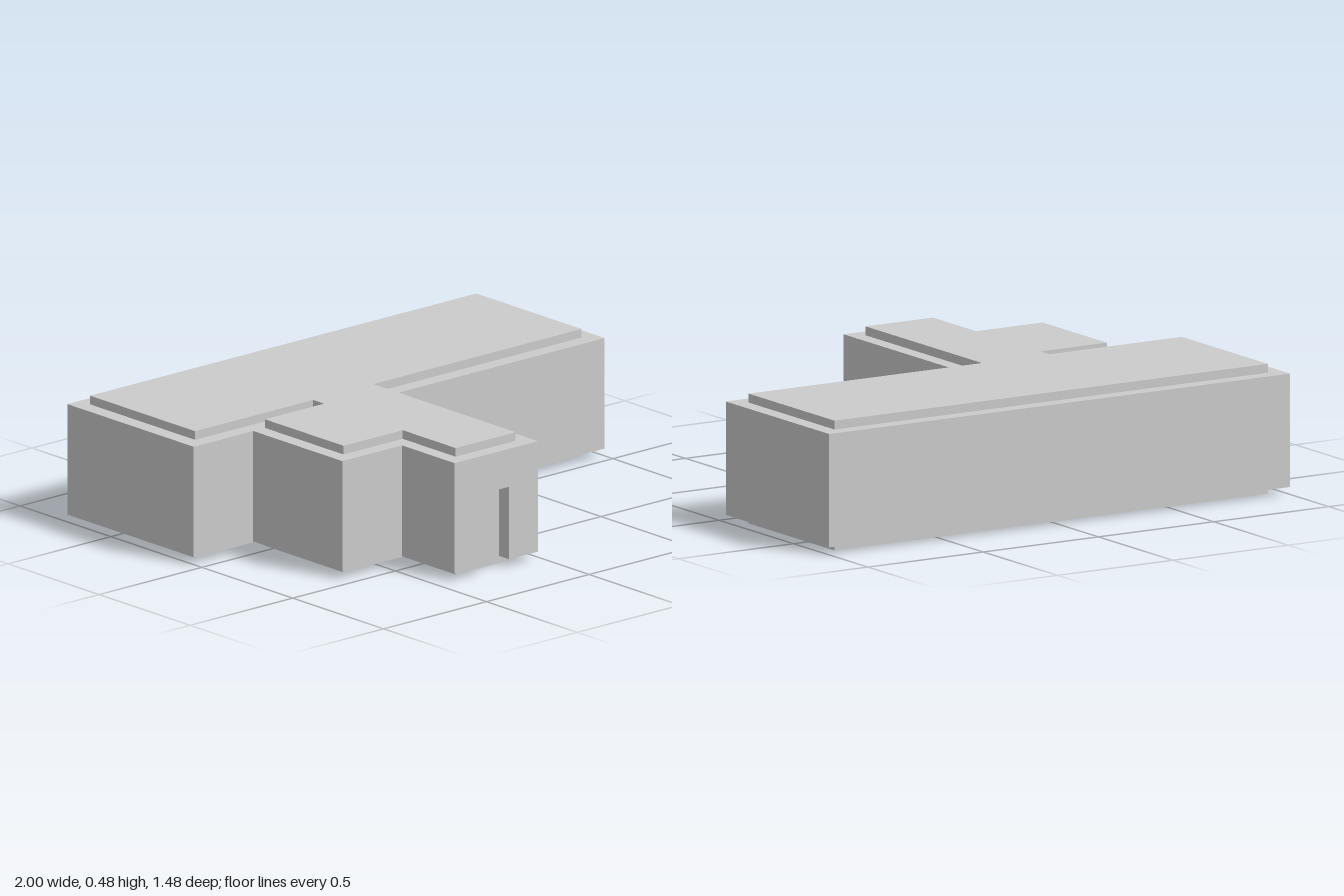
import * as THREE from 'three';

const material = new THREE.MeshStandardMaterial({ color: 0xcccccc, flatShading: true });

// Plan outlines as [x, z] corners, starting at the back right corner
const outer = [
  [-1, -0.74], [1, -0.74], [1, -0.045], [-0.015, -0.045], [-0.015, 0.735],
  [-0.42, 0.735], [-0.42, 0.445], [-0.71, 0.445], [-0.71, -0.045], [-1, -0.045],
];
const inner = [
  [-0.94, -0.683], [0.94, -0.683], [0.94, -0.105], [-0.073, -0.105], [-0.073, 0.678],
  [-0.365, 0.678], [-0.365, 0.387], [-0.653, 0.387], [-0.653, -0.045],
  [-0.365, -0.045], [-0.365, -0.105], [-0.94, -0.105],
];

// Heights
const WALL_BOTTOM = 0.028, DOOR_TOP = 0.305, WALL_TOP = 0.45, CORE_TOP = 0.483;

// Door openings: one in the wing's front wall, one in its left side wall
const frontDoor = { x0: -0.285, x1: -0.155 };
const sideDoor = { z0: 0.04, z1: 0.166 };

const toPoints = (plan) => plan.map(([x, z]) => new THREE.Vector2(x, -z));

// Raise a plan outline from one height to another
function raise(name, plan, y0, y1, hole) {
  const shape = new THREE.Shape(toPoints(plan));
  if (hole) shape.holes.push(new THREE.Path(toPoints(hole)));
  const geometry = new THREE.ExtrudeGeometry(shape, { depth: y1 - y0, bevelEnabled: false });
  geometry.rotateX(-Math.PI / 2);
  geometry.translate(0, y0, 0);
  const mesh = new THREE.Mesh(geometry, material);
  mesh.name = name;
  return mesh;
}

export function createModel() {
  const group = new THREE.Group();
  group.name = 'building';

  // Inner block, showing as roof, floor and closed door leaves
  group.add(raise('buildingCore', inner, 0, CORE_TOP));

  const walls = new THREE.Group();
  walls.name = 'outerWalls';
  const [xOut, zOut] = outer[4];
  const [xIn, zIn] = inner[4];

  // Continuous wall band above the doors
  walls.add(raise('upperWall', outer, DOOR_TOP, WALL_TOP, inner));

  // Wall corner between the two doors
  walls.add(raise('cornerWall', [
    [xOut, sideDoor.z1], [xOut, zOut], [frontDoor.x1, zOut],
    [frontDoor.x1, zIn], [xIn, zIn], [xIn, sideDoor.z1],
  ], WALL_BOTTOM, DOOR_TOP));

  // Remaining wall, running around the building from door to door
  walls.add(raise('mainWall', [
    [frontDoor.x0, zOut], ...outer.slice(5), ...outer.slice(0, 4), [xOut, sideDoor.z0],
    [xIn, sideDoor.z0], ...inner.slice(0, 4).reverse(), ...inner.slice(5).reverse(),
    [frontDoor.x0, zIn],
  ], WALL_BOTTOM, DOOR_TOP));

  group.add(walls);
  return group;
}
